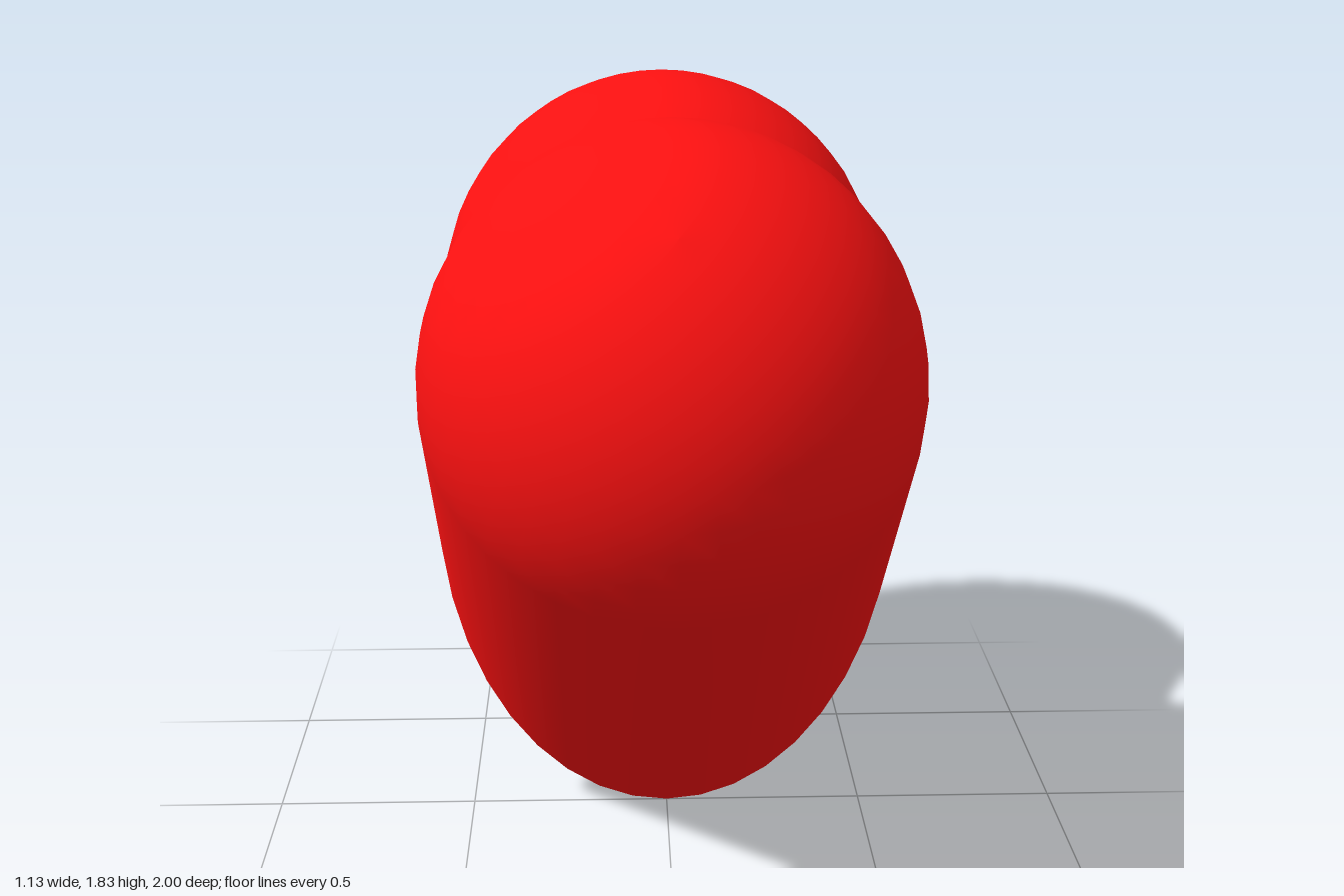
import * as THREE from 'three';

const R = 2 - Math.SQRT2;      // lobe radius, so the heart spans z = -1 to 1
const X_SCALE = 0.968;         // the heart is slightly slimmer across x
const SIDES = 40;
const ARC_STEPS = 12;

// One half: a dome on a round column, tilted 45 degrees and mitred on z = 0
function halfHeartGeometry() {
  const profile = [new THREE.Vector2(R, -R)];
  for (let i = 0; i <= ARC_STEPS; i++) {
    const a = (i / ARC_STEPS) * Math.PI / 2;
    profile.push(new THREE.Vector2(i === ARC_STEPS ? 0 : R * Math.cos(a), R * Math.sin(a)));
  }
  const geometry = new THREE.LatheGeometry(profile, SIDES);

  // Slide the bottom ring along the column onto the mitre plane
  const pos = geometry.attributes.position;
  for (let i = 0; i < pos.count; i++) {
    if (pos.getY(i) < -R / 2) pos.setY(i, -(R + pos.getZ(i)));
  }

  geometry.rotateX(Math.PI / 4);
  geometry.translate(0, 3 * R / Math.SQRT2, R / Math.SQRT2);
  geometry.scale(X_SCALE, 1, 1);
  return geometry;
}

export function createModel() {
  const heart = new THREE.Group();
  heart.name = 'heart';
  const material = new THREE.MeshStandardMaterial({ color: 0xff1111 });
  const geometry = halfHeartGeometry();

  // Front and back halves meet along the middle plane
  ['frontLobe', 'backLobe'].forEach((name, i) => {
    const lobe = new THREE.Mesh(geometry, material);
    lobe.name = name;
    lobe.rotation.y = i * Math.PI;
    heart.add(lobe);
  });
  return heart;
}
